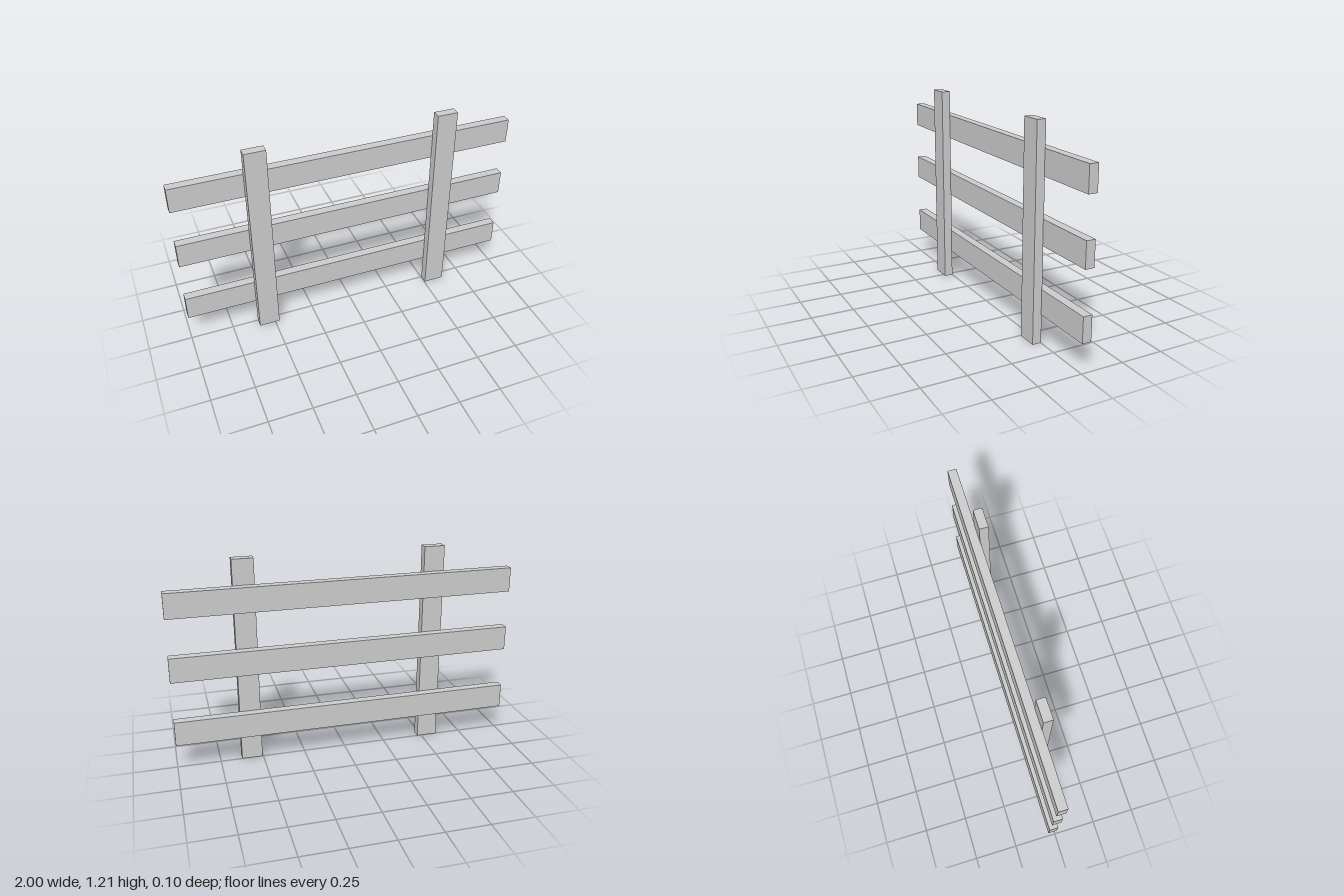
import * as THREE from 'three';

export function createModel() {
  const group = new THREE.Group();
  const material = new THREE.MeshStandardMaterial({ color: 0xcccccc, flatShading: true });

  const board = (name, size, position) => {
    const mesh = new THREE.Mesh(new THREE.BoxGeometry(...size), material);
    mesh.name = name;
    mesh.position.set(...position);
    group.add(mesh);
  };

  // Two upright posts at the front
  const postHeight = 1.206;
  for (const [name, x] of [['rightPost', -0.535], ['leftPost', 0.565]]) {
    board(name, [0.121, postHeight, 0.052], [x, postHeight / 2, 0.025]);
  }

  // Three horizontal rails fixed behind the posts
  for (const [name, y] of [['bottomRail', 0.235], ['middleRail', 0.62], ['topRail', 0.987]]) {
    board(name, [2, 0.144, 0.052], [0, y, -0.024]);
  }

  return group;
}
